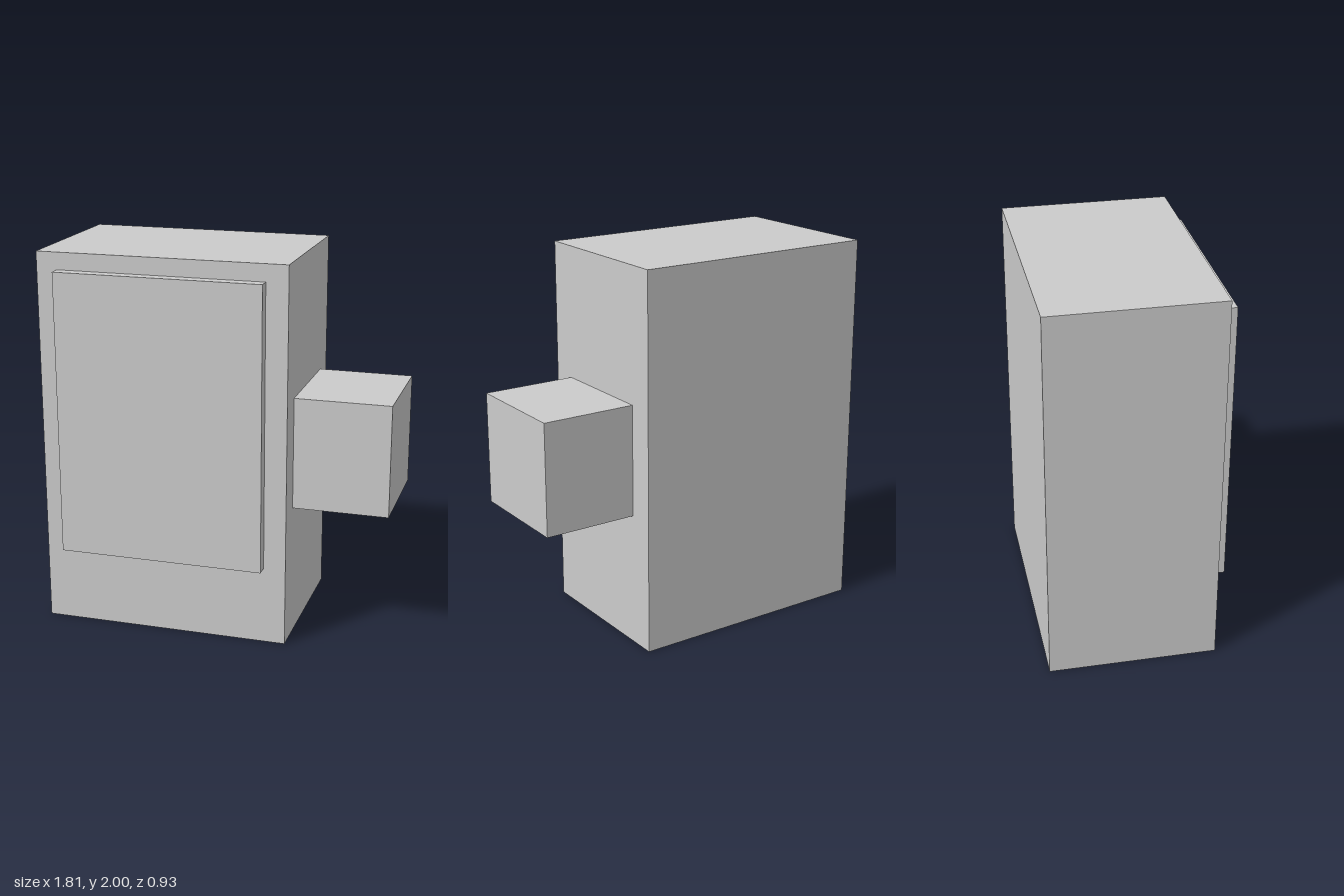
import * as THREE from 'three';

const material = new THREE.MeshStandardMaterial({ color: 0xcccccc, flatShading: true });

// Adds a box spanning the given min and max corners
function addBox(group, name, min, max) {
  const size = max.map((v, i) => v - min[i]);
  const mesh = new THREE.Mesh(new THREE.BoxGeometry(...size), material);
  mesh.position.set(...max.map((v, i) => (v + min[i]) / 2));
  mesh.name = name;
  group.add(mesh);
}

export function createModel() {
  const model = new THREE.Group();
  model.name = 'cabinet';

  // Tall main block
  addBox(model, 'body', [-0.907, 0, -0.465], [0.407, 2, 0.402]);

  // Thin raised panel on the front
  addBox(model, 'frontPanel', [-0.797, 0.412, 0.402], [0.292, 1.91, 0.465]);

  // Block projecting from the left side
  addBox(model, 'sideBlock', [0.407, 0.708, -0.325], [0.907, 1.297, 0.264]);

  return model;
}
